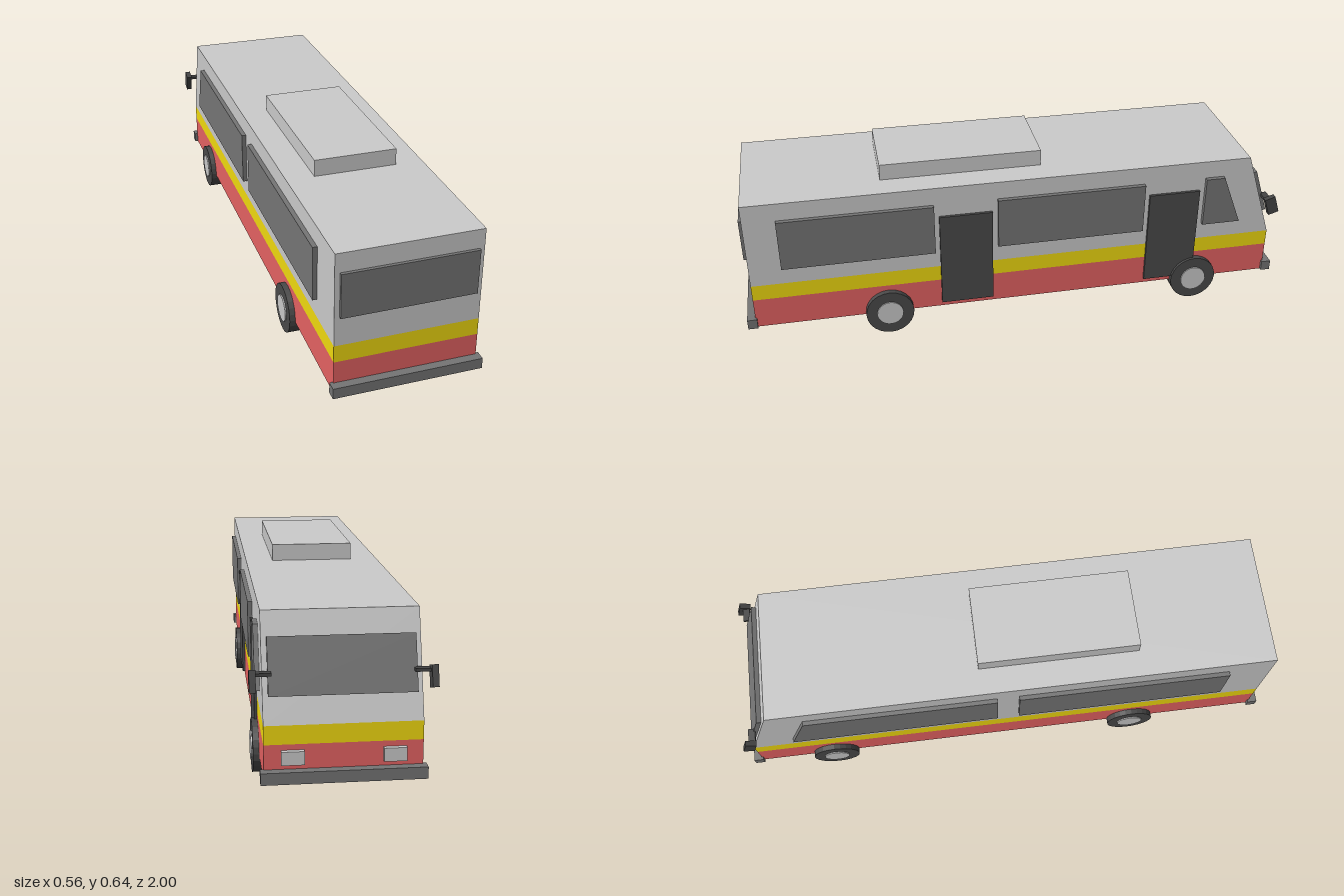
import * as THREE from 'three';

const mat = (color) => new THREE.MeshStandardMaterial({ color, flatShading: true });

export function createModel() {
  const bus = new THREE.Group();
  const grey = mat(0xcccccc), red = mat(0xe66363), yellow = mat(0xf2db10);
  const glass = mat(0x767676), doorMat = mat(0x4a4a4a), rubber = mat(0x4a4a4a);
  const bumperMat = mat(0x757575), mirrorMat = mat(0x444444), hubMat = mat(0xc4c4c4);

  const add = (name, geometry, material, parent = bus) => {
    const mesh = new THREE.Mesh(geometry, material);
    mesh.name = name;
    parent.add(mesh);
    return mesh;
  };
  // Box given by its extents on each axis
  const box = (name, material, [x0, x1], [y0, y1], [z0, z1], parent) => {
    const mesh = add(name, new THREE.BoxGeometry(x1 - x0, y1 - y0, z1 - z0), material, parent);
    mesh.position.set((x0 + x1) / 2, (y0 + y1) / 2, (z0 + z1) / 2);
    return mesh;
  };
  // Side outline of [z, y] points, extruded across x from x0 to x1
  const sidePanel = (name, material, points, x0, x1) => {
    const shape = new THREE.Shape(points.map(([z, y]) => new THREE.Vector2(-z, y)));
    const geometry = new THREE.ExtrudeGeometry(shape, { depth: x1 - x0, bevelEnabled: false });
    geometry.rotateY(Math.PI / 2).translate(x0, 0, 0);
    return add(name, geometry, material);
  };

  // Body: two straight bands and an upper shell with a raked nose
  const W = 0.242, END = 0.971;
  const nose = Math.atan2(0.106, 0.327);
  box('lowerBody', red, [-W, W], [0.08, 0.196], [-END, END]);
  box('stripe', yellow, [-W, W], [0.196, 0.256], [-END, END]);
  sidePanel('upperBody', grey, [[END, 0.256], [-END, 0.256], [-0.865, 0.583], [END, 0.583]], -W, W);
  box('roofUnit', grey, [-0.145, 0.145], [0.583, 0.642], [-0.097, 0.485]);

  // Side windows: [rear z, front z at sill, front z at top]
  const windowAt = (name, side, [rear, sill, top]) => {
    const outline = [[rear, 0.324], [sill, 0.324], [top, 0.516], [rear, 0.516]];
    sidePanel(name, glass, outline, side > 0 ? 0.235 : -0.258, side > 0 ? 0.258 : -0.235);
  };
  [[0.857, 0.31, 0.31], [0.08, -0.465, -0.465], [-0.698, -0.843, -0.768]]
    .forEach((w) => windowAt('doorSideWindow', 1, w));
  [[0.81, 0.04, 0.04], [-0.04, -0.81, -0.742]]
    .forEach((w) => windowAt('plainSideWindow', -1, w));

  // Doors, on one side only
  [[0.1, 0.292], [-0.678, -0.486]].forEach((z) =>
    box('door', doorMat, [0.235, 0.252], [0.1, 0.468], z));

  // Rear window and raked windscreen
  box('rearWindow', glass, [-0.225, 0.225], [0.36, 0.516], [0.965, 0.982]);
  const screen = add('windscreen', new THREE.BoxGeometry(0.45, 0.178, 0.034), glass);
  screen.position.set(0, 0.422, -0.917);
  screen.rotation.x = nose;

  // Bumpers
  box('rearBumper', bumperMat, [-0.253, 0.253], [0.08, 0.118], [0.965, 1]);
  box('frontBumper', bumperMat, [-0.253, 0.253], [0.08, 0.118], [-1, -0.965]);

  for (const side of [-1, 1]) {
    // Headlights
    const lamp = box('headlight', grey, [-0.035, 0.035], [0.135, 0.178], [-0.987, -0.965]);
    lamp.position.x = side * 0.155;

    // Mirrors on short arms
    const mirror = new THREE.Group();
    mirror.name = 'mirror';
    bus.add(mirror);
    const arm = box('mirrorArm', mirrorMat, [-0.026, 0.026], [0.404, 0.414], [-0.957, -0.932], mirror);
    arm.position.x = side * 0.241;
    const head = add('mirrorHead', new THREE.BoxGeometry(0.02, 0.068, 0.04), mirrorMat, mirror);
    head.position.set(side * 0.272, 0.39, -0.957);
    head.rotation.x = nose;

    // Wheels with hubs showing on both faces
    for (const z of [0.487, -0.68]) {
      const wheel = new THREE.Group();
      wheel.name = 'wheel';
      wheel.position.set(side * 0.2235, 0.088, z);
      bus.add(wheel);
      add('tyre', new THREE.CylinderGeometry(0.088, 0.088, 0.077, 24).rotateZ(Math.PI / 2), rubber, wheel);
      add('hub', new THREE.CylinderGeometry(0.048, 0.048, 0.086, 24).rotateZ(Math.PI / 2), hubMat, wheel);
    }
  }
  return bus;
}
